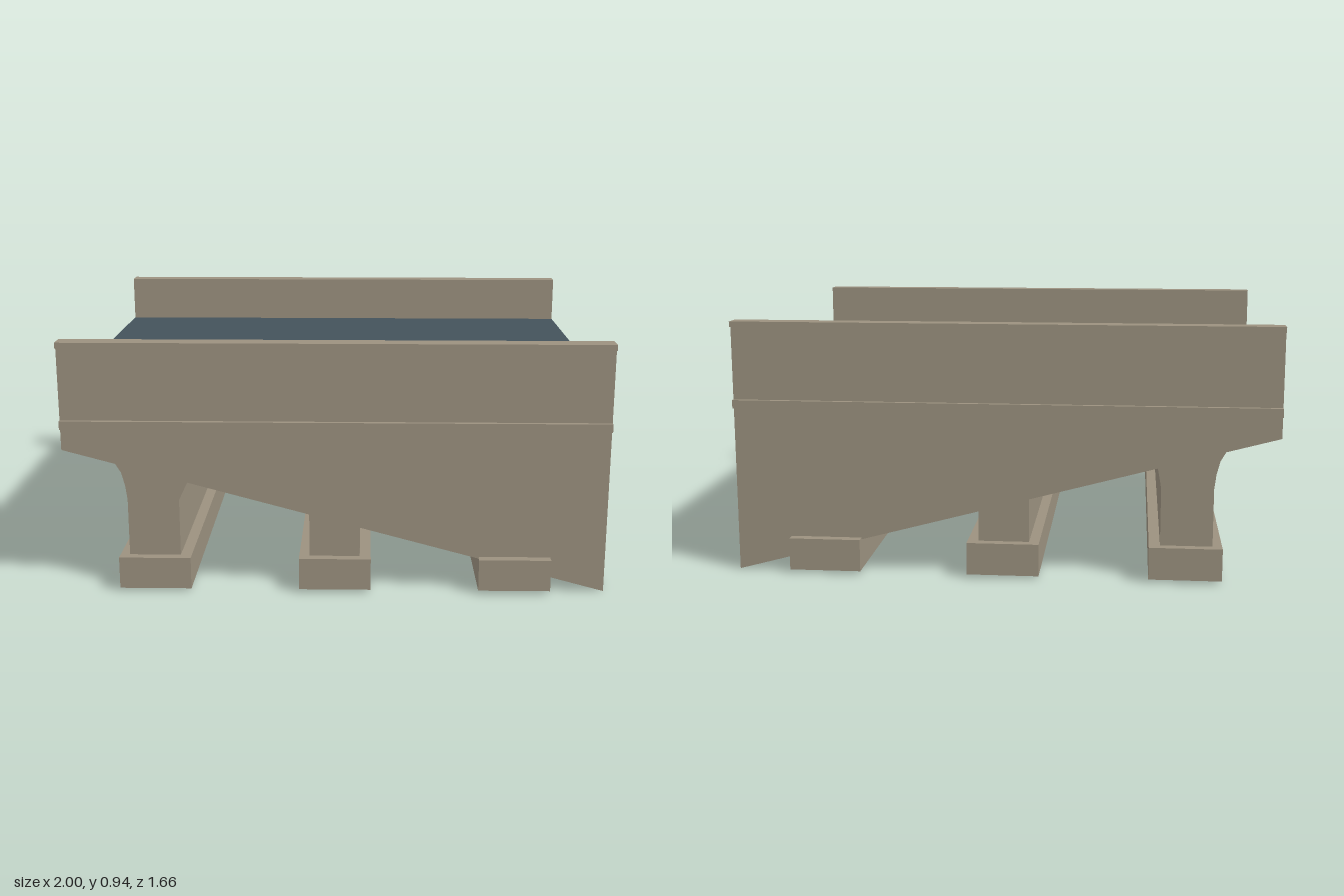
import * as THREE from 'three';

export function createModel() {
  const group = new THREE.Group();
  const stone = new THREE.MeshStandardMaterial({ color: 0x9b917f });
  stone.name = 'stone';
  const asphalt = new THREE.MeshStandardMaterial({ color: 0x43525b });
  asphalt.name = 'asphalt';

  const add = (name, geometry, material) => {
    const mesh = new THREE.Mesh(geometry, material);
    mesh.name = name;
    group.add(mesh);
  };
  // box given by its limits on each axis
  const box = (name, [x0, x1], [y0, y1], [z0, z1], material = stone) => {
    const g = new THREE.BoxGeometry(x1 - x0, y1 - y0, z1 - z0);
    g.translate((x0 + x1) / 2, (y0 + y1) / 2, (z0 + z1) / 2);
    add(name, g, material);
  };

  // ramp body: sloping underside with a flared pier and a straight pier
  const under = (x) => 0.272 - 0.268 * x;
  const profile = [
    [-1, 0.752], [-1, 0.54], [-0.805, 0.488], [-0.785, 0.455], [-0.772, 0.405],
    [-0.765, 0.35], [-0.765, 0.13], [-0.575, 0.13], [-0.575, 0.35], [-0.562, 0.423],
    [-0.095, under(-0.095)], [-0.095, 0.13], [0.092, 0.13], [0.092, under(0.092)],
    [1, 0.004], [1, 0.752],
  ];
  const shape = new THREE.Shape(profile.map(([x, y]) => new THREE.Vector2(x, y)));
  const body = new THREE.ExtrudeGeometry(shape, { depth: 1.59, bevelEnabled: false });
  body.translate(0, 0, -0.795);
  add('rampBody', body, stone);

  // road surface between the parapets
  box('roadSurface', [-1, 1], [0.751, 0.756], [-0.739, 0.739], asphalt);

  // parapet, coping and string course on both sides
  const full = [-1, 1];
  for (const s of [1, -1]) {
    const side = s > 0 ? 'Front' : 'Back';
    const span = (a, b) => (s > 0 ? [a, b] : [-b, -a]);
    box('parapet' + side, full, [0.752, 0.921], span(0.74, 0.795), stone);
    box('coping' + side, full, [0.921, 0.942], span(0.74, 0.81), stone);
    box('stringCourse' + side, full, [0.62, 0.652], span(0.79, 0.812), stone);
  }

  // long footings across the full width
  [-0.667, 0, 0.665].forEach((x, i) => {
    box('footing' + (i + 1), [x - 0.133, x + 0.133], [0.016, 0.136], [-0.83, 0.83]);
  });

  return group;
}
